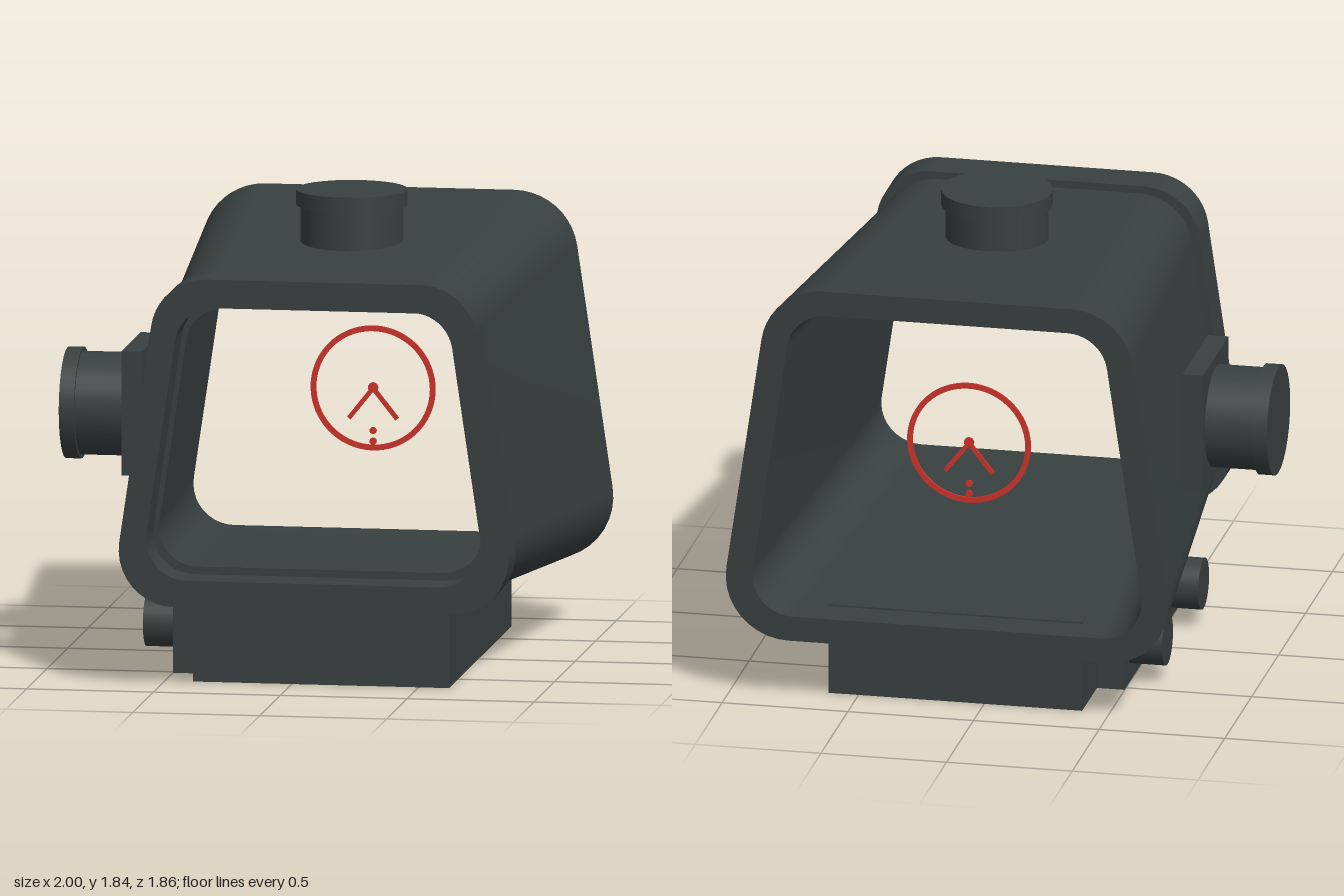
import * as THREE from 'three';

const CX = 0.12;              // optical axis
const SLOPE = Math.atan(0.147); // inward lean of the housing sides

// Rounded trapezoid ring, counter-clockwise seen from the front.
// w = half width at the (unrounded) bottom corner.
function ring(w, y0, y1, r, z) {
  const steps = 10, right = [];
  const wTop = w - Math.tan(SLOPE) * (y1 - y0);
  const cornerArc = (cx, cy, a0, a1) => {
    for (let i = 0; i <= steps; i++) {
      const a = a0 + (a1 - a0) * i / steps;
      right.push([cx + r * Math.cos(a), cy + r * Math.sin(a)]);
    }
  };
  cornerArc(w - r / Math.tan((Math.PI / 2 - SLOPE) / 2), y0 + r, -Math.PI / 2, SLOPE);
  cornerArc(wTop - r / Math.tan((Math.PI / 2 + SLOPE) / 2), y1 - r, SLOPE, Math.PI / 2);
  const left = right.map(([x, y]) => [-x, y]).reverse();
  return right.concat(left).map(([x, y]) => [CX + x, y, z]);
}

// Closed shell through successive rings; every band keeps its own vertices so edges stay sharp.
function shell(rings) {
  const pos = [], index = [], n = rings[0].length;
  rings.forEach((a, k) => {
    const b = rings[(k + 1) % rings.length], base = pos.length / 3;
    for (const p of [...a, ...b]) pos.push(...p);
    for (let i = 0; i < n; i++) {
      const j = (i + 1) % n;
      index.push(base + i, base + n + i, base + j, base + j, base + n + i, base + n + j);
    }
  });
  const g = new THREE.BufferGeometry();
  g.setAttribute('position', new THREE.Float32BufferAttribute(pos, 3));
  g.setIndex(index);
  g.computeVertexNormals();
  return g;
}

export function createModel() {
  const model = new THREE.Group();
  const dark = new THREE.MeshStandardMaterial({ color: 0x384040 });
  dark.name = 'darkMetal';
  const red = new THREE.MeshStandardMaterial({ color: 0xd0342c });
  red.name = 'reticleRed';

  const add = (name, geometry, material = dark, parent = model) => {
    const mesh = new THREE.Mesh(geometry, material);
    mesh.name = name;
    parent.add(mesh);
    return mesh;
  };
  const box = (name, x0, x1, y0, y1, z0, z1) =>
    add(name, new THREE.BoxGeometry(x1 - x0, y1 - y0, z1 - z0))
      .position.set((x0 + x1) / 2, (y0 + y1) / 2, (z0 + z1) / 2);
  const uprightCylinder = (name, r, y0, y1) =>
    add(name, new THREE.CylinderGeometry(r, r, y1 - y0, 28)).position.set(CX, (y0 + y1) / 2, 0);
  const sideCylinder = (name, r, x0, x1, y, z) => {
    const m = add(name, new THREE.CylinderGeometry(r, r, x1 - x0, 28));
    m.rotation.z = Math.PI / 2;
    m.position.set((x0 + x1) / 2, y, z);
  };

  // Hollow housing, widening toward the back
  add('housing', shell([
    ring(0.765, 0.36, 1.59, 0.21, 0.76),
    ring(0.92, 0.25, 1.70, 0.25, -0.93),
    ring(0.80, 0.35, 1.60, 0.16, -0.93),
    ring(0.66, 0.46, 1.48, 0.15, 0.76),
  ]));

  // Raised frame around the front opening
  add('frontFrame', shell([
    ring(0.803, 0.325, 1.62, 0.22, 0.93),
    ring(0.803, 0.325, 1.62, 0.22, 0.76),
    ring(0.685, 0.43, 1.51, 0.16, 0.76),
    ring(0.685, 0.43, 1.51, 0.16, 0.93),
  ]));

  // Top adjustment knob
  uprightCylinder('topKnobStem', 0.20, 1.60, 1.78);
  uprightCylinder('topKnobCap', 0.218, 1.78, 1.84);

  // Side adjustment knob on its square plate
  box('sideKnobPlate', -0.75, -0.668, 0.725, 1.215, -0.235, 0.235);
  sideCylinder('sideKnobStem', 0.202, -0.94, -0.75, 0.97, 0);
  sideCylinder('sideKnobCap', 0.218, -1.0, -0.94, 0.97, 0);

  // Mounting base with side clamp and two bolts
  box('mountBase', -0.39, 0.62, 0, 0.365, -0.80, 0.72);
  box('clampBar', -0.50, -0.39, 0, 0.295, -0.525, 0.525);
  for (const z of [-0.38, 0.29]) sideCylinder('clampBolt', 0.102, -0.64, -0.50, 0.168, z);

  // Aiming mark: circle, chevron and dots as thin plates
  const reticle = new THREE.Group();
  reticle.name = 'reticle';
  reticle.position.set(CX, 0.972, -0.52);
  model.add(reticle);
  const T = 0.008;
  const circle = new THREE.Shape().absarc(0, 0, 0.246, 0, Math.PI * 2);
  circle.holes.push(new THREE.Path().absarc(0, 0, 0.224, 0, Math.PI * 2, true));
  add('reticleCircle',
    new THREE.ExtrudeGeometry(circle, { depth: T, bevelEnabled: false, curveSegments: 48 }),
    red, reticle).position.z = -T / 2;
  for (const s of [-1, 1]) {
    const arm = add('chevronArm', new THREE.BoxGeometry(0.018, 0.155, T), red, reticle);
    arm.position.set(s * 0.047, -0.06, 0);
    arm.rotation.z = s * 0.67;
  }
  for (const [y, r] of [[0.002, 0.02], [-0.168, 0.014], [-0.21, 0.014]]) {
    const dot = add('reticleDot', new THREE.CylinderGeometry(r, r, T + 0.001, 16), red, reticle);
    dot.rotation.x = Math.PI / 2;
    dot.position.y = y;
  }
  return model;
}
